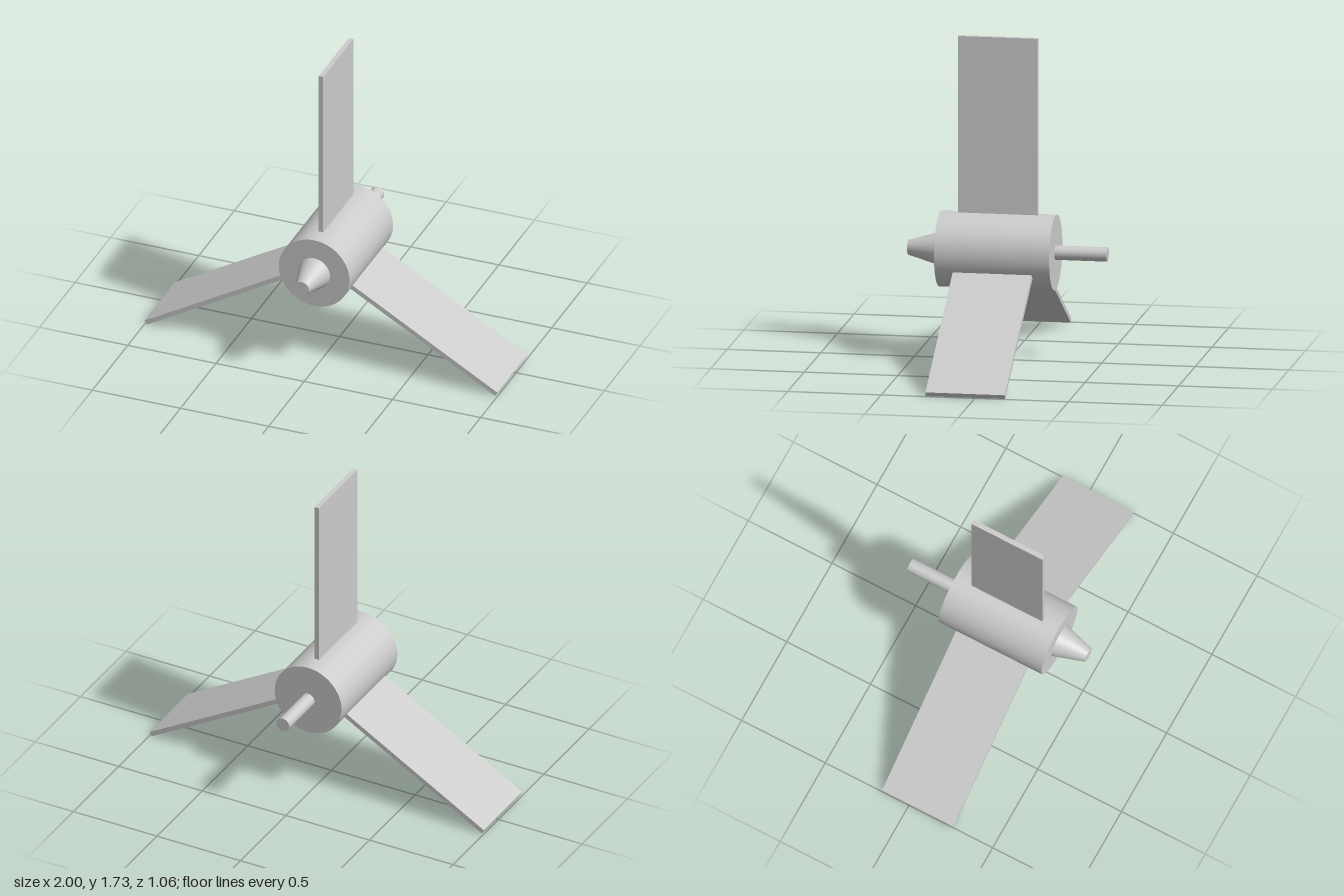
import * as THREE from 'three';

const AXIS_Y = 0.585;
const material = new THREE.MeshStandardMaterial({ color: 0xcccccc });

// Round part along the z axis, from zBack to zFront
function roundPart(name, rFront, rBack, zBack, zFront) {
  const geometry = new THREE.CylinderGeometry(rFront, rBack, zFront - zBack, 64);
  geometry.rotateX(Math.PI / 2);
  const mesh = new THREE.Mesh(geometry, material);
  mesh.name = name;
  mesh.position.z = (zBack + zFront) / 2;
  return mesh;
}

export function createModel() {
  const rotor = new THREE.Group();
  rotor.name = 'rotor';
  rotor.position.y = AXIS_Y;

  // Hub, tapered nose and rear shaft
  rotor.add(roundPart('hub', 0.2, 0.2, -0.255, 0.36));
  rotor.add(roundPart('nose', 0.039, 0.09, 0.36, 0.532));
  rotor.add(roundPart('shaft', 0.038, 0.038, -0.532, -0.255));

  // Three flat blades, rooted just inside the hub
  const root = 0.19, tip = 1.1475;
  const bladeGeometry = new THREE.BoxGeometry(0.026, tip - root, 0.424);
  bladeGeometry.translate(0, (root + tip) / 2, 0.052);
  for (let i = 0; i < 3; i++) {
    const blade = new THREE.Mesh(bladeGeometry, material);
    blade.name = `blade${i + 1}`;
    blade.rotation.z = (i * Math.PI * 2) / 3;
    rotor.add(blade);
  }

  const model = new THREE.Group();
  model.name = 'propeller';
  model.add(rotor);
  return model;
}
